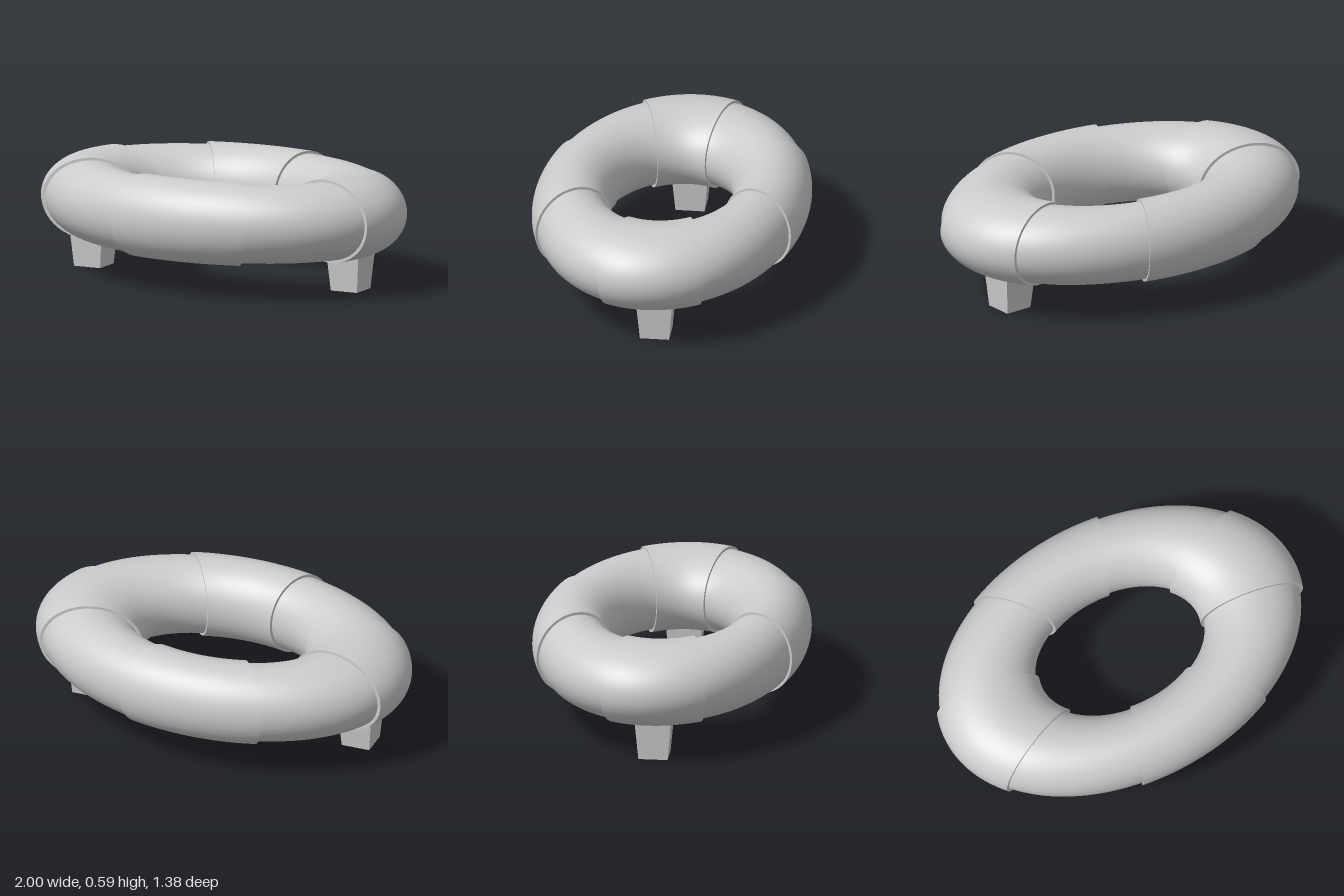
import * as THREE from 'three';
import { mergeGeometries } from 'three/addons/utils/BufferGeometryUtils.js';

const RING_RADIUS = 0.72;
const WIDE = 0.28, NARROW = 0.262;
const CENTRE_Y = 0.379;
const SQUASH_Y = 0.754, SQUASH_Z = 0.69;
const STEP = Math.PI / 4;
const START = -Math.PI / 12;

const material = new THREE.MeshStandardMaterial({ color: 0xcccccc });
const flatMaterial = new THREE.MeshStandardMaterial({ color: 0xcccccc, flatShading: true });

// Narrow collar that closes the end of a wide segment
function endCollar(angle, facing) {
  return new THREE.RingGeometry(NARROW - 0.015, WIDE, 64, 1)
    .rotateX(facing * Math.PI / 2)
    .translate(RING_RADIUS, 0, 0)
    .rotateZ(angle);
}

// One eighth of the ring, squashed into an oval
function ringSegment(index) {
  const wide = index % 2 === 0;
  const start = START + index * STEP;
  const parts = [
    new THREE.TorusGeometry(RING_RADIUS, wide ? WIDE : NARROW, 64, 24, STEP).rotateZ(start),
  ];
  if (wide) parts.push(endCollar(start, 1), endCollar(start + STEP, -1));
  const geometry = mergeGeometries(parts)
    .rotateX(-Math.PI / 2)
    .scale(1, SQUASH_Y, SQUASH_Z);
  const mesh = new THREE.Mesh(geometry, material);
  mesh.name = wide ? 'wideRingSegment' : 'narrowRingSegment';
  return mesh;
}

// Square foot that tapers towards the ground
function foot(name, x, z) {
  const height = 0.23, top = 0.188, bottom = 0.148;
  const geometry = new THREE.CylinderGeometry(top / Math.SQRT2, bottom / Math.SQRT2, height, 4)
    .rotateY(Math.PI / 4)
    .translate(0, height / 2, 0);
  const mesh = new THREE.Mesh(geometry, flatMaterial);
  mesh.name = name;
  mesh.position.set(x, 0, z);
  mesh.rotation.y = THREE.MathUtils.degToRad(5);
  return mesh;
}

export function createModel() {
  const model = new THREE.Group();
  model.name = 'segmentedRingOnFeet';

  const ring = new THREE.Group();
  ring.name = 'ring';
  ring.position.y = CENTRE_Y;
  for (let i = 0; i < 8; i++) ring.add(ringSegment(i));
  model.add(ring);

  model.add(foot('leftFoot', 0.711, -0.069));
  model.add(foot('rightFoot', -0.741, 0.055));
  return model;
}
